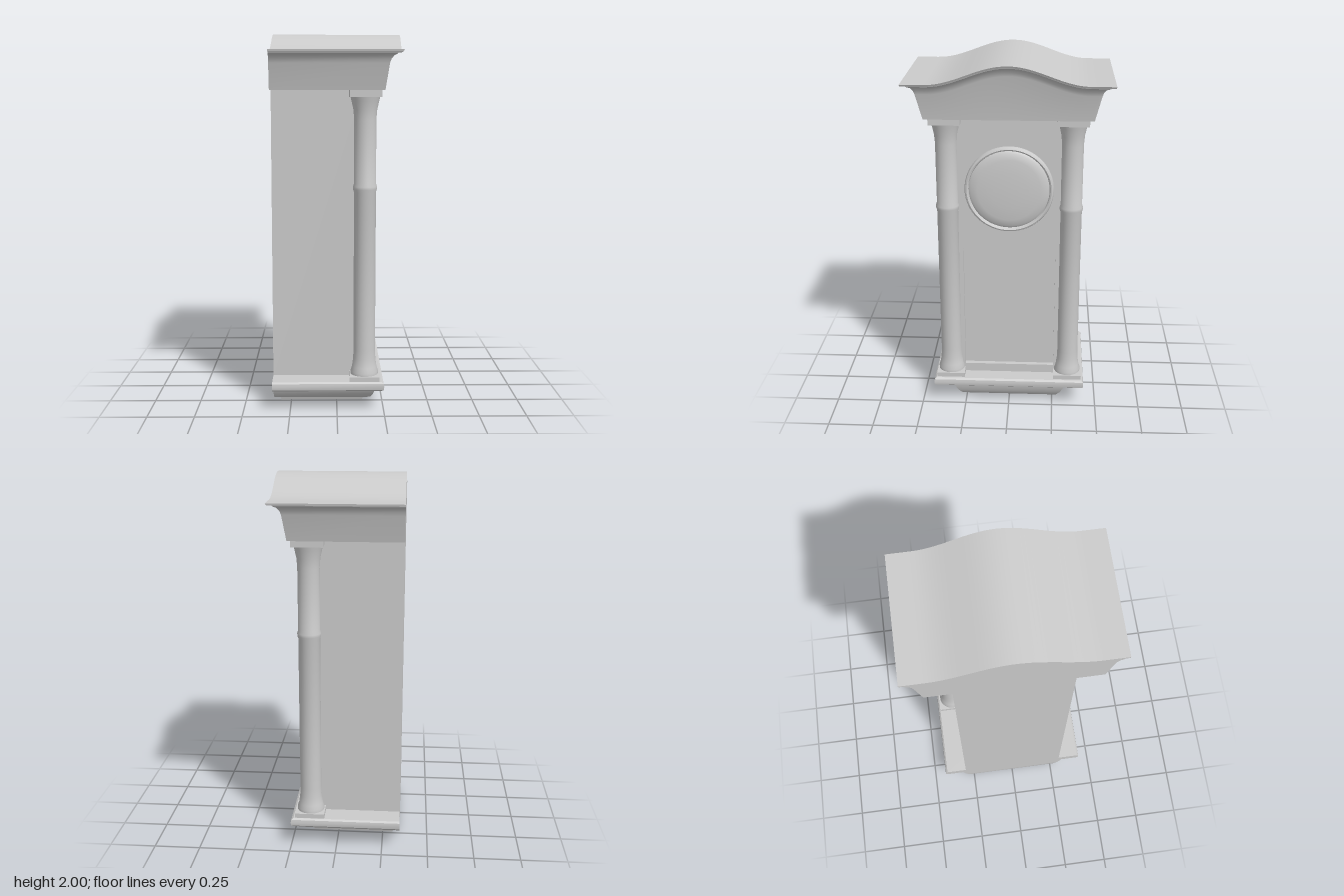
import * as THREE from 'three';
import { toCreasedNormals } from 'three/addons/utils/BufferGeometryUtils.js';

const BACK = -0.345;
const FRONT = 0.155;
const material = new THREE.MeshStandardMaterial({ color: 0xcccccc });

function add(group, name, geometry, x = 0, y = 0, z = 0) {
  const mesh = new THREE.Mesh(geometry, material);
  mesh.name = name;
  mesh.position.set(x, y, z);
  group.add(mesh);
  return mesh;
}

function box(group, name, [x0, x1], [y0, y1], [z0, z1]) {
  return add(group, name, new THREE.BoxGeometry(x1 - x0, y1 - y0, z1 - z0),
    (x0 + x1) / 2, (y0 + y1) / 2, (z0 + z1) / 2);
}

// Height of the swept arch above the eaves
function rise(z) {
  const u = Math.min(Math.abs(z) / 0.42, 1);
  return 0.05 * (1 + Math.cos(Math.PI * u));
}

// Moulding with a flat back: rows of { x: front, z: half width, y, arch, back }, bottom to top
function moulding(rows, steps = 1) {
  const n = steps + 1;
  const count = 2 * n;
  const positions = [];
  const index = [];
  for (const { x, z: half, y, arch = 0, back = BACK } of rows) {
    for (let i = 0; i < count; i++) {
      const front = i < n;
      const t = (front ? i : count - 1 - i) / steps;
      const z = half * (1 - 2 * t);
      const lift = arch * rise(z);
      positions.push(front ? x + 0.12 * lift : back, y + lift, z);
    }
  }
  for (let r = 0; r < rows.length - 1; r++) {
    for (let i = 0; i < count; i++) {
      const j = (i + 1) % count;
      const a = r * count;
      const b = a + count;
      index.push(a + i, a + j, b + j, a + i, b + j, b + i);
    }
  }
  // Bottom and top caps
  const top = (rows.length - 1) * count;
  for (let i = 0; i < steps; i++) {
    const p = i, q = i + 1, s = count - 2 - i, t = count - 1 - i;
    index.push(top + p, top + q, top + s, top + p, top + s, top + t);
    index.push(p, s, q, p, t, s);
  }
  const geometry = new THREE.BufferGeometry();
  geometry.setAttribute('position', new THREE.Float32BufferAttribute(positions, 3));
  geometry.setIndex(index);
  return toCreasedNormals(geometry, 0.6);
}

function lathe(points, segments) {
  return toCreasedNormals(
    new THREE.LatheGeometry(points.map(([r, y]) => new THREE.Vector2(r, y)), segments), 0.6);
}

function createColumn(side) {
  const column = new THREE.Group();
  column.name = side > 0 ? 'leftColumn' : 'rightColumn';
  box(column, 'columnBase', [-0.08, 0.08], [0.16, 0.185], [-0.08, 0.08]);
  add(column, 'columnShaft', lathe([
    [0.074, 0.185], [0.074, 0.2], [0.066, 0.225], [0.06, 0.27], [0.058, 0.32],
    [0.058, 1.17], [0.063, 1.185], [0.063, 1.2], [0.058, 1.215],
    [0.058, 1.55], [0.062, 1.6], [0.072, 1.645], [0.078, 1.67],
  ], 32));
  box(column, 'columnCapital', [-0.083, 0.083], [1.665, 1.7], [-0.083, 0.083]);
  column.position.set(0.148, 0, side * 0.335);
  return column;
}

export function createModel() {
  const clock = new THREE.Group();
  clock.name = 'wallClock';

  // Case with a framed front and a recessed door
  box(clock, 'caseBody', [BACK, FRONT - 0.025], [0.16, 1.7], [-0.3, 0.3]);
  const frame = new THREE.Shape([[-0.3, 0.16], [0.3, 0.16], [0.3, 1.7], [-0.3, 1.7]]
    .map(([x, y]) => new THREE.Vector2(x, y)));
  frame.holes.push(new THREE.Path([[-0.255, 0.21], [-0.255, 0.94], [0.255, 0.94], [0.255, 0.21]]
    .map(([x, y]) => new THREE.Vector2(x, y))));
  const front = add(clock, 'frontFrame',
    new THREE.ExtrudeGeometry(frame, { depth: 0.025, bevelEnabled: false }), FRONT - 0.025);
  front.rotation.y = Math.PI / 2;

  // Round dial with a rounded bezel and a shallow domed glass
  const bezel = add(clock, 'dialBezel', lathe([
    [0.24, 0], [0.24, 0.012], [0.236, 0.022], [0.228, 0.026], [0.221, 0.022], [0.217, 0.01],
  ], 64), FRONT, 1.295);
  bezel.rotation.z = -Math.PI / 2;
  const glass = add(clock, 'dialGlass', lathe([
    [0.219, 0], [0.217, 0.012], [0.205, 0.02], [0.17, 0.026], [0.1, 0.031], [0, 0.033],
  ], 64), FRONT, 1.295);
  glass.rotation.z = -Math.PI / 2;

  for (const side of [1, -1]) clock.add(createColumn(side));

  // Ledge under the columns
  add(clock, 'baseLedge', moulding([
    { x: 0.238, z: 0.418, y: 0.11 },
    { x: 0.249, z: 0.427, y: 0.118 },
    { x: 0.252, z: 0.43, y: 0.135 },
    { x: 0.249, z: 0.427, y: 0.152 },
    { x: 0.238, z: 0.418, y: 0.16 },
  ]));

  // Rounded underside
  add(clock, 'baseUnderside', moulding([
    { x: 0.14, z: 0.235, y: 0, back: -0.305 },
    { x: 0.145, z: 0.24, y: 0.015, back: -0.31 },
    { x: 0.17, z: 0.25, y: 0.018, back: -0.34 },
    { x: 0.186, z: 0.275, y: 0.03 },
    { x: 0.2, z: 0.297, y: 0.055 },
    { x: 0.21, z: 0.312, y: 0.085 },
    { x: 0.215, z: 0.32, y: 0.11 },
  ]));

  // Flared cornice rising into the swept roof
  add(clock, 'corniceAndRoof', moulding([
    { x: 0.245, z: 0.44, y: 1.7 },
    { x: 0.265, z: 0.473, y: 1.835, arch: 1 },
    { x: 0.272, z: 0.48, y: 1.855, arch: 1 },
    { x: 0.285, z: 0.492, y: 1.872, arch: 1 },
    { x: 0.303, z: 0.512, y: 1.882, arch: 1 },
    { x: 0.305, z: 0.515, y: 1.888, arch: 1 },
    { x: 0.328, z: 0.538, y: 1.89, arch: 1 },
    { x: 0.333, z: 0.54, y: 1.9, arch: 1 },
  ], 48));

  return clock;
}
